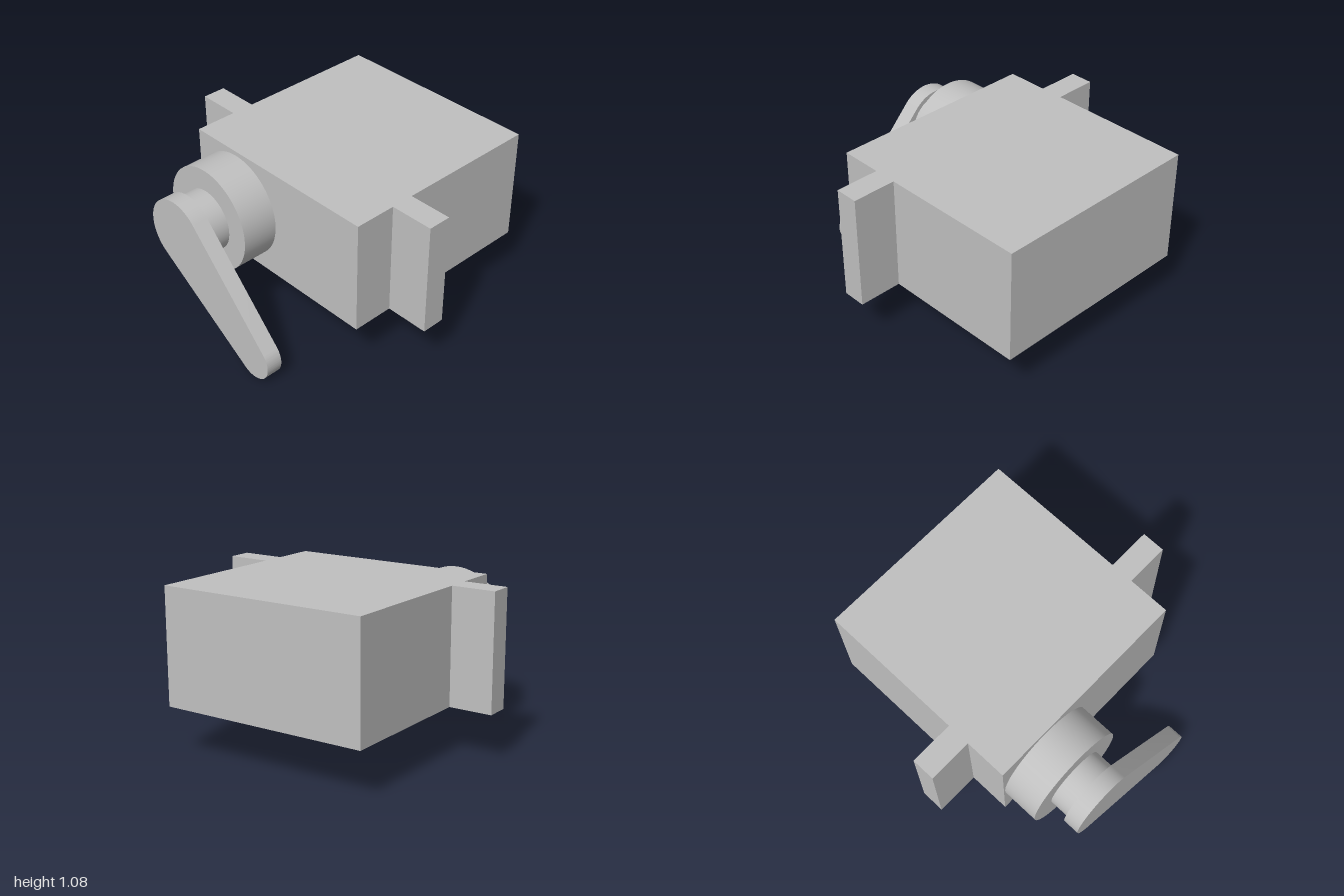
import * as THREE from 'three';
import { toCreasedNormals } from 'three/addons/utils/BufferGeometryUtils.js';

export function createModel() {
  const model = new THREE.Group();
  model.name = 'servoMotor';
  const grey = new THREE.MeshStandardMaterial({ color: 0xc0c0c0 });
  grey.name = 'light grey';

  const add = (name, geometry, x = 0, y = 0, z = 0) => {
    const mesh = new THREE.Mesh(geometry, grey);
    mesh.name = name;
    mesh.position.set(x, y, z);
    model.add(mesh);
  };

  // Main case with a mounting tab on each end
  const midY = 0.70;
  const height = 0.76;
  add('case', new THREE.BoxGeometry(1.405, height, 1.42), 0.2425, midY, 0);
  for (const side of [1, -1]) {
    add(side > 0 ? 'frontTab' : 'backTab',
      new THREE.BoxGeometry(0.155, height, 0.29), -0.1025, midY, side * 0.855);
  }

  // Round output boss and shaft, with their axis along x
  const axisZ = -0.35;
  const disc = (name, radius, x0, x1) => {
    const geometry = new THREE.CylinderGeometry(radius, radius, x1 - x0, 64);
    geometry.rotateZ(Math.PI / 2);
    add(name, geometry, (x0 + x1) / 2, midY, axisZ);
  };
  disc('outputBoss', 0.35, -0.705, -0.46);
  disc('outputShaft', 0.203, -0.84, -0.705);

  // Tapered arm: two round ends joined by tangent lines, drawn in (z, y)
  const hub = { z: axisZ, y: midY, r: 0.235 };
  const tip = { z: 0.325, y: 0.135, r: 0.135 };
  const dz = tip.z - hub.z;
  const dy = tip.y - hub.y;
  const angle = Math.atan2(dy, dz);
  const spread = Math.acos((hub.r - tip.r) / Math.hypot(dz, dy));
  const outline = new THREE.Shape();
  outline.absarc(tip.z, tip.y, tip.r, angle - spread, angle + spread, false);
  outline.absarc(hub.z, hub.y, hub.r, angle + spread, angle - spread + 2 * Math.PI, false);
  outline.closePath();
  const arm = new THREE.ExtrudeGeometry(outline, { depth: 0.108, bevelEnabled: false, curveSegments: 32 });
  arm.rotateY(-Math.PI / 2);
  add('arm', toCreasedNormals(arm, 0.5), -0.84, 0, 0);

  return model;
}
